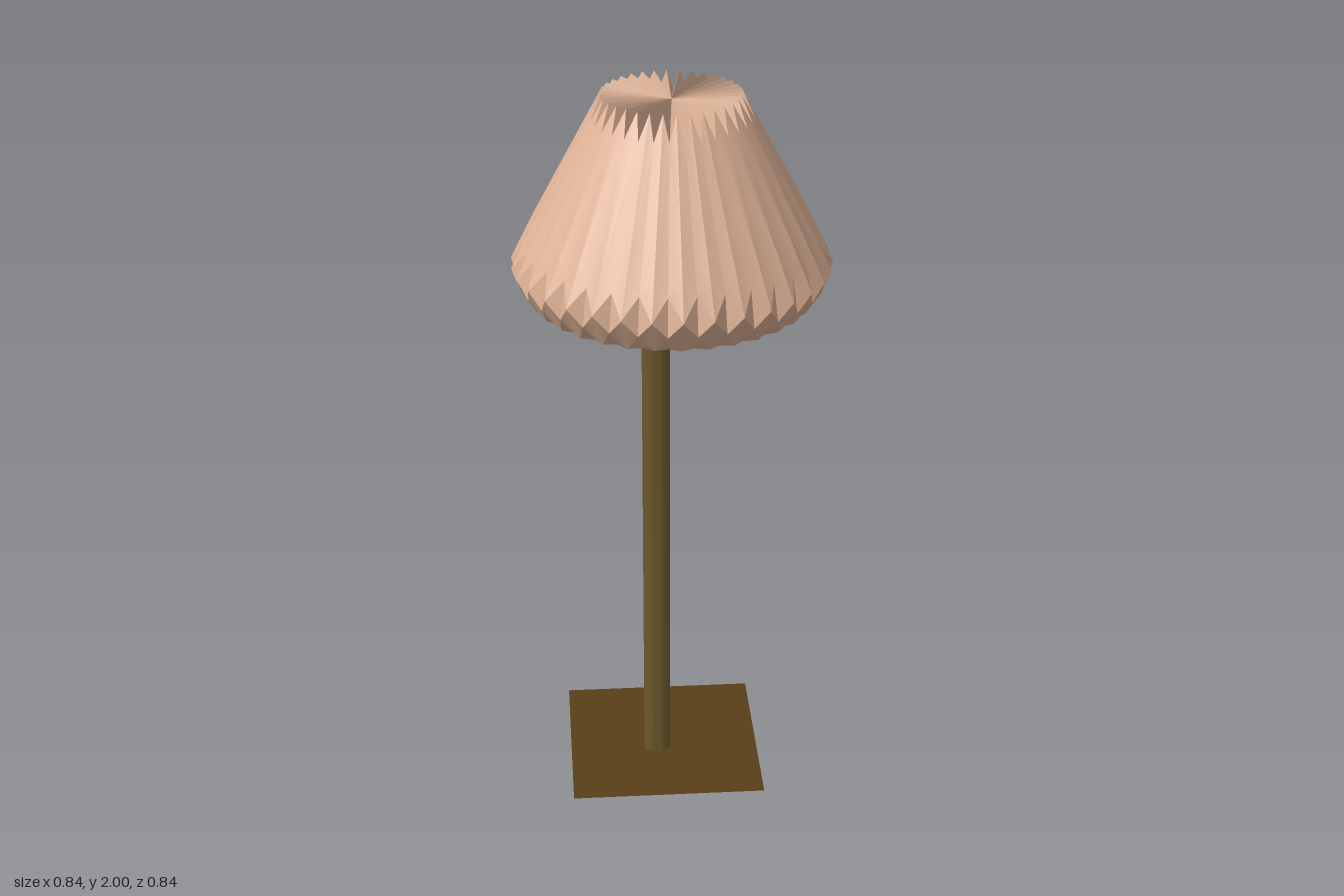
import * as THREE from 'three';
import { toCreasedNormals } from 'three/addons/utils/BufferGeometryUtils.js';

const PLEATS = 34;

// Closed pleated surface: each ring alternates between an even and an odd [radius, y, zShift].
function pleatedSurface(rings, bottom, top) {
  const n = PLEATS * 2;
  const positions = [];
  const index = [];
  for (const ring of rings) {
    for (let i = 0; i < n; i++) {
      const [r, y, dz = 0] = ring[i % 2];
      const a = (i / n) * Math.PI * 2;
      positions.push(r * Math.sin(a), y, -r * Math.cos(a) + dz);
    }
  }
  const bottomCentre = rings.length * n;
  const topCentre = bottomCentre + 1;
  positions.push(...bottom, ...top);
  const last = (rings.length - 1) * n;
  for (let i = 0; i < n; i++) {
    const j = (i + 1) % n;
    for (let k = 0; k < last; k += n) {
      // Alternate the diagonal so the pleats stay mirror symmetric
      const a = k + i, b = k + j, c = k + n + j, d = k + n + i;
      if (i % 2) index.push(a, d, b, b, d, c);
      else index.push(a, c, b, a, d, c);
    }
    index.push(bottomCentre, i, j);
    index.push(topCentre, last + j, last + i);
  }
  const geometry = new THREE.BufferGeometry();
  geometry.setAttribute('position', new THREE.Float32BufferAttribute(positions, 3));
  geometry.setIndex(index);
  return toCreasedNormals(geometry, 0.4);
}

export function createModel() {
  const lamp = new THREE.Group();
  lamp.name = 'tableLamp';
  const add = (name, geometry, color, side = THREE.FrontSide) => {
    const mesh = new THREE.Mesh(geometry, new THREE.MeshStandardMaterial({ color, side }));
    mesh.name = name;
    lamp.add(mesh);
    return mesh;
  };

  // Pleated shade, from the tucked-in bottom rim up to the crown
  const lean = -0.008;
  const rings = [
    [[0.37, 1.455], [0.345, 1.45]],
    [[0.42, 1.55], [0.403, 1.505]],
    [[0.37, 1.65], [0.385, 1.605]],
    [[0.18, 2.0, lean], [0.213, 1.935, lean]],
  ];
  add('shade', pleatedSurface(rings, [0, 1.45, 0], [0, 1.98, lean]), 0xe0b498);

  // Slim post with a lens-shaped section
  const w = 0.038, t = 0.013;
  const section = new THREE.Shape();
  section.moveTo(-w, 0);
  section.quadraticCurveTo(0, -2 * t, w, 0);
  section.quadraticCurveTo(0, 2 * t, -w, 0);
  const postGeometry = new THREE.ExtrudeGeometry(section, { depth: 1.46, bevelEnabled: false, curveSegments: 10 });
  postGeometry.rotateX(-Math.PI / 2);
  const post = add('post', toCreasedNormals(postGeometry, 0.5), 0x6e5a2c);
  post.position.set(-0.043, 0, 0.009);

  // Flat square foot plate
  const plate = add('basePlate', new THREE.PlaneGeometry(0.544, 0.544), 0x5a3f18, THREE.DoubleSide);
  plate.rotation.x = -Math.PI / 2;
  plate.position.set(-0.023, 0, -0.038);

  return lamp;
}
